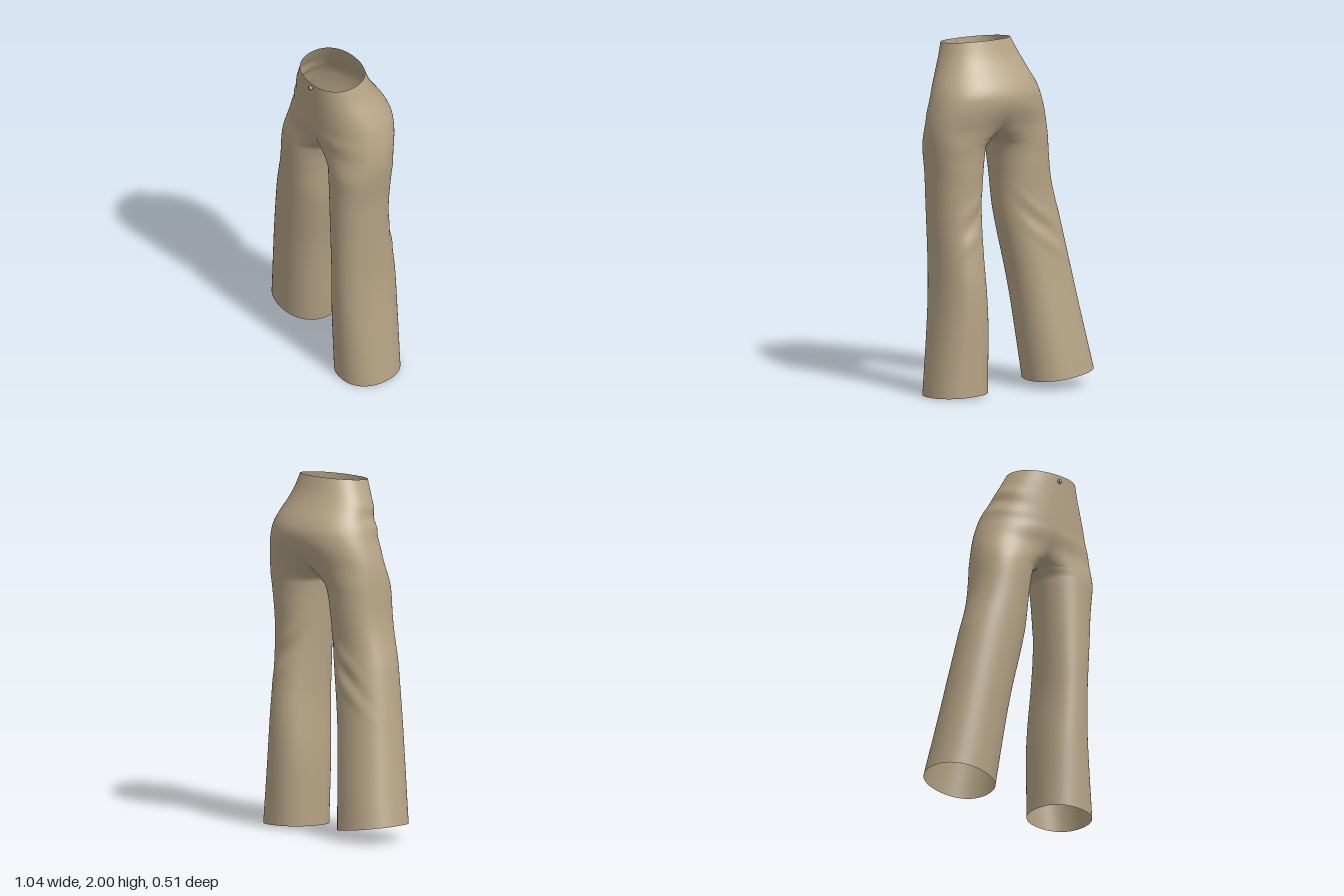
import * as THREE from 'three';
import { mergeVertices } from 'three/addons/utils/BufferGeometryUtils.js';

const CROTCH = 1.45, WAIST = 1.985;

// Smooth curve through [y, value] pairs listed from top to bottom
function curve(...keys) {
  const slope = (i) => {
    const a = keys[Math.max(i - 1, 0)], b = keys[Math.min(i + 1, keys.length - 1)];
    return (b[1] - a[1]) / (b[0] - a[0]);
  };
  return (y) => {
    let i = 0;
    while (i < keys.length - 2 && y < keys[i + 1][0]) i++;
    const [y0, v0] = keys[i], [y1, v1] = keys[i + 1];
    const h = y1 - y0, t = THREE.MathUtils.clamp((y - y0) / h, 0, 1);
    const t2 = t * t, t3 = t2 * t;
    return v0 * (2 * t3 - 3 * t2 + 1) + h * slope(i) * (t3 - 2 * t2 + t)
      + v1 * (3 * t2 - 2 * t3) + h * slope(i + 1) * (t3 - t2);
  };
}

// A run of three creases, alternately pushed out and in
const creases = (angle, height, step, rise, push) => [0, 1, 2].map((k) => (
  { angle: angle + 0.1 * k, height: height - step * k, rise, push: k === 1 ? -push : push }));

// Hip depth and centre seam, shared by both halves
const hipFront = [[2, 0.24], [1.63, 0.217], [1.53, 0.197], [1.4, 0.205], [1.3, 0.204]];
const hipBack = [[2, -0.07], [1.9, -0.11], [1.7, -0.222], [1.5, -0.168], [1.4, -0.15], [1.3, -0.142]];
const seam = curve([2, 0.14], [CROTCH, 0.12]);

const left = {
  side: 1, hem: 0.0105, tiltX: -0.03, tiltZ: -0.04,
  outer: curve([2, 0.335], [1.9, 0.37], [1.7, 0.46], [1.5, 0.497], [1.2, 0.471], [0.64, 0.458], [0, 0.517]),
  inner: curve([CROTCH, 0.12], [1.4, 0.158], [0.8, 0.19], [0.4, 0.172], [0, 0.17]),
  front: curve(...hipFront, [0.8, 0.198], [0, 0.175]),
  back: curve(...hipBack, [1.05, -0.135], [0.6, -0.188], [0, -0.19]),
  folds: creases(-1.8, 1.1, 0.1, 0.13, 0.011),
};

const right = {
  side: -1, hem: 0.0725, tiltX: -0.1375, tiltZ: 0,
  outer: curve([2, -0.06], [1.9, -0.11], [1.7, -0.197], [1.5, -0.262], [1.2, -0.3], [0.95, -0.363], [0.07, -0.52]),
  inner: curve([CROTCH, 0.12], [1.4, 0.07], [1.25, 0.04], [1, 0.018], [0.6, -0.055], [0.07, -0.12]),
  front: curve(...hipFront, [0.8, 0.17], [0.07, 0.11]),
  back: curve(...hipBack, [1, -0.135], [0.07, -0.26]),
  folds: [...creases(-1.8, 1.04, 0.1, 0.18, 0.014), ...creases(0.25, 1.84, 0.06, 0.04, 0.008)],
};

const soft = (v) => Math.sign(v) * Math.abs(v) ** 0.9;

// How far a section wraps: half a ring at the hips, closing to a full ring at the crotch
function wrap(y) {
  const t = THREE.MathUtils.clamp((y - CROTCH) / 0.22, 0, 1);
  return Math.PI / 2 * (1 + (1 - Math.sqrt(t)) ** 1.3);
}

// One row of points, running from the front seam round the outside to the back seam
function section(half, y, n) {
  const { side, hem, tiltX, tiltZ, folds } = half;
  const alpha = wrap(y);
  const xo = half.outer(y), xi = y >= CROTCH ? seam(y) : half.inner(y);
  const zf = half.front(y), zb = half.back(y);
  const a = (xo - xi) / (1 - soft(Math.cos(alpha))), b = (zf - zb) / 2;
  const hemTilt = THREE.MathUtils.clamp(1 - (y - hem) / 0.4, 0, 1);
  const waistTilt = THREE.MathUtils.clamp(1 - (WAIST - y) / 0.15, 0, 1);
  const points = [];
  for (let i = 0; i <= n; i++) {
    const th = alpha * (1 - 2 * i / n);
    let bump = 0;
    for (const { angle, height, rise, push } of folds) {
      const dy = (y - height - rise * (angle - th)) / 0.035, da = (th - angle) / 0.55;
      bump += push * Math.exp(-dy * dy - da * da);
    }
    bump *= Math.sin(Math.PI * i / n);
    const dx = a * soft(Math.cos(th)), dz = b * soft(Math.sin(th));
    points.push(
      xo - a + dx + side * bump * Math.cos(th),
      y + hemTilt * (tiltX * dx + tiltZ * dz) - 0.1 * waistTilt * dz,
      (zf + zb) / 2 + dz + bump * Math.sin(th),
    );
  }
  return points;
}

// Both halves are joined along the centre seam into one smooth cloth surface
function trousersGeometry() {
  const n = 56, hipRows = 44, legRows = 72, rows = hipRows + legRows;
  const positions = [], index = [];
  for (const half of [left, right]) {
    const base = positions.length / 3;
    for (let r = 0; r <= rows; r++) {
      const y = r <= hipRows
        ? CROTCH + (WAIST - CROTCH) * (1 - r / hipRows) ** 1.5
        : CROTCH + (half.hem - CROTCH) * ((r - hipRows) / legRows) ** 1.2;
      positions.push(...section(half, y, n));
    }
    for (let r = 0; r < rows; r++) {
      for (let i = 0; i < n; i++) {
        const p = base + r * (n + 1) + i, q = p + n + 1;
        if (half.side > 0) index.push(p, q, q + 1, p, q + 1, p + 1);
        else index.push(p, q + 1, q, p, p + 1, q + 1);
      }
    }
  }
  const geometry = new THREE.BufferGeometry();
  geometry.setAttribute('position', new THREE.Float32BufferAttribute(positions, 3));
  geometry.setIndex(index);
  const joined = mergeVertices(geometry, 1e-4);
  joined.computeVertexNormals();
  return joined;
}

export function createModel() {
  const group = new THREE.Group();
  group.name = 'trousers';
  const cloth = new THREE.MeshStandardMaterial({ color: 0xb5a385, side: THREE.DoubleSide });
  cloth.name = 'tan cloth';

  const body = new THREE.Mesh(trousersGeometry(), cloth);
  body.name = 'waistAndLegs';
  group.add(body);

  // small closure at the front of the waist
  const button = new THREE.Mesh(new THREE.CylinderGeometry(0.01, 0.014, 0.014, 16), cloth);
  button.name = 'waistButton';
  button.rotation.x = Math.PI / 2;
  button.position.set(0.145, 1.935, 0.243);
  group.add(button);
  return group;
}
